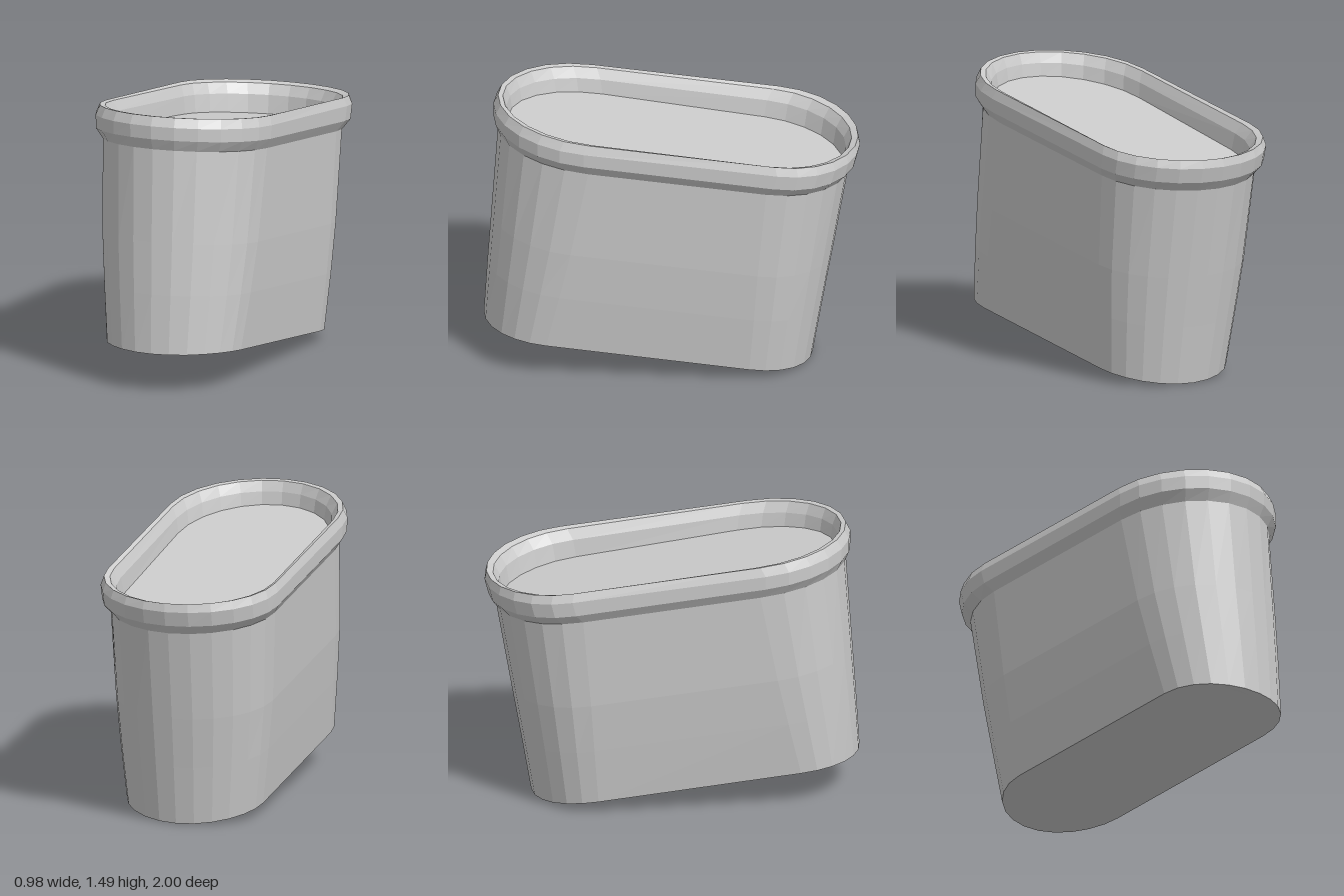
import * as THREE from 'three';

const CAP_STEPS = 12;   // facets on each rounded end

// One tilted oval ring: front and back end points (z, y), half width, x offset,
// length of the rounded front and back ends, and how far the sides curl up
function ring({ front, back, w, cx = 0, caps = [0.49, 0.43], lift = 0 }) {
  const pts = [];
  const add = (s, z) => {
    const t = (z - back[0]) / (front[0] - back[0]);
    pts.push(new THREE.Vector3(cx + w * s, back[1] + (front[1] - back[1]) * t + lift * s * s, z));
  };
  for (let i = 0; i <= CAP_STEPS; i++) {            // front end, right to left
    const a = -Math.PI / 2 + (Math.PI * i) / CAP_STEPS;
    add(Math.sin(a), front[0] - caps[0] * (1 - Math.cos(a)));
  }
  for (let i = 0; i <= CAP_STEPS; i++) {            // back end, left to right
    const a = Math.PI / 2 - (Math.PI * i) / CAP_STEPS;
    add(Math.sin(a), back[0] + caps[1] * (1 - Math.cos(a)));
  }
  return pts;
}

function build(name, triangles) {
  const geometry = new THREE.BufferGeometry().setFromPoints(triangles);
  geometry.computeVertexNormals();
  const mesh = new THREE.Mesh(geometry, new THREE.MeshStandardMaterial({ color: 0xcccccc, flatShading: true }));
  mesh.name = name;
  return mesh;
}

// Skin between successive rings
function loft(name, sections) {
  const rings = sections.map(ring), tri = [];
  for (let i = 0; i < rings.length - 1; i++) {
    const a = rings[i], b = rings[i + 1];
    for (let j = 0; j < a.length; j++) {
      const k = (j + 1) % a.length;
      tri.push(a[j], a[k], b[k], a[j], b[k], b[j]);
    }
  }
  return build(name, tri);
}

// Oval plate filling a ring, made of strips running across it
function plate(name, section, faceUp) {
  const pts = ring(section), n = pts.length, tri = [];
  const spine = (j) => {                            // centre of the strip end at point j
    const mate = pts[(CAP_STEPS - j + n) % n];
    const mid = pts[j].clone().add(mate).multiplyScalar(0.5);
    mid.y -= (section.lift ?? 0) * ((pts[j].x - mid.x) / section.w) ** 2;
    return mid;
  };
  pts.forEach((p, j) => {
    const k = (j + 1) % n, q = pts[k], a = spine(j), b = spine(k);
    tri.push(...(faceUp ? [p, q, b, p, b, a] : [q, p, b, p, a, b]));
  });
  return build(name, tri);
}

export function createModel() {
  const group = new THREE.Group();
  group.name = 'slantedTub';

  const base = { front: [1.0, 0.21], back: [-0.75, 0], w: 0.375, cx: 0.022, caps: [0.34, 0.33], lift: 0.025 };
  const neck = { front: [0.925, 1.31], back: [-0.94, 1.09], w: 0.452 };
  const floor = { front: [0.87, 1.36], back: [-0.91, 1.1], w: 0.41 };

  // Tapering wall, slightly bowed outward
  group.add(loft('wall', [
    base,
    { front: [0.98, 0.53], back: [-0.805, 0.32], w: 0.408, cx: 0.015, caps: [0.39, 0.36], lift: 0.01 },
    { front: [0.96, 0.81], back: [-0.855, 0.6], w: 0.432, cx: 0.008, caps: [0.43, 0.39] },
    neck,
  ]));

  // Rolled lip with a narrow crest, sloping in to the recessed floor
  group.add(loft('lip', [
    neck,
    { front: [0.95, 1.37], back: [-0.98, 1.14], w: 0.486 },
    { front: [0.95, 1.44], back: [-1.0, 1.22], w: 0.488 },
    { front: [0.925, 1.49], back: [-0.99, 1.265], w: 0.472 },
    { front: [0.9, 1.485], back: [-0.955, 1.255], w: 0.45 },
    { front: [0.88, 1.43], back: [-0.925, 1.2], w: 0.422 },
    floor,
  ]));

  group.add(plate('recessedFloor', floor, true));
  group.add(plate('underside', base, false));
  return group;
}
